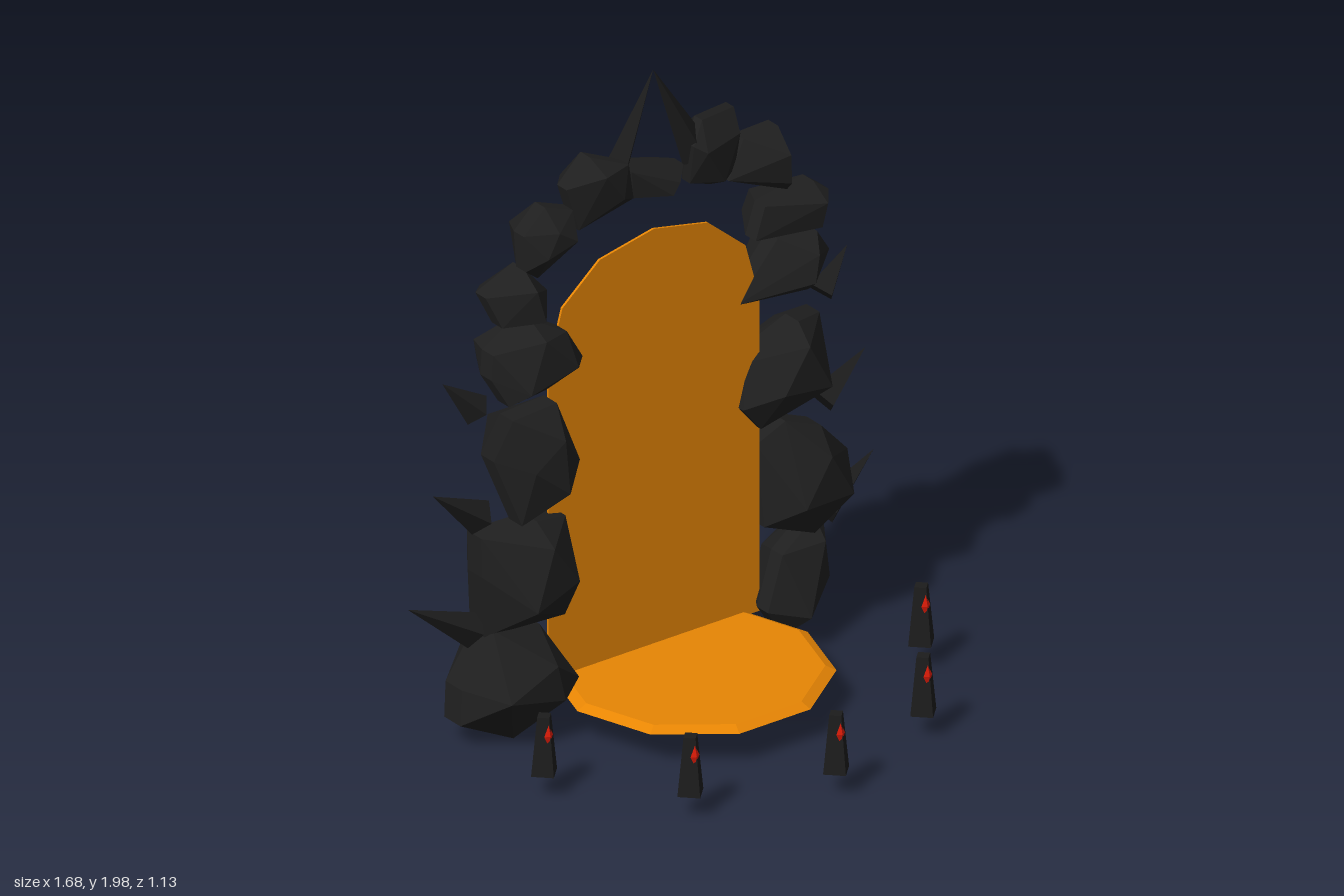
import * as THREE from 'three';
import { ConvexGeometry } from 'three/addons/geometries/ConvexGeometry.js';

const material = (name, color) => {
  const m = new THREE.MeshStandardMaterial({ color });
  m.name = name;
  m.flatShading = true;
  return m;
};

// Rock outlines in the arch plane as x, y pairs
const rightRocks = [
  [-0.54, 0.01, -0.36, 0.12, -0.33, 0.16, -0.42, 0.33, -0.6, 0.37, -0.7, 0.2, -0.71, 0.09],
  [-0.63, 0.67, -0.46, 0.69, -0.335, 0.66, -0.32, 0.49, -0.36, 0.36, -0.615, 0.345, -0.635, 0.55],
  [-0.55, 1.045, -0.38, 1.045, -0.3, 0.84, -0.37, 0.73, -0.53, 0.705, -0.58, 0.9],
  [-0.6, 1.26, -0.47, 1.34, -0.36, 1.28, -0.3, 1.18, -0.41, 1.09, -0.57, 1.1, -0.605, 1.18],
  [-0.61, 1.44, -0.49, 1.51, -0.4, 1.41, -0.43, 1.31, -0.58, 1.35],
  [-0.5, 1.62, -0.41, 1.68, -0.32, 1.65, -0.3, 1.58, -0.425, 1.45, -0.5, 1.51],
  [-0.33, 1.71, -0.245, 1.79, -0.13, 1.745, -0.1, 1.62, -0.29, 1.57],
];
const leftRocks = [
  [-0.1, 1.7, 0.07, 1.66, 0.11, 1.65, 0.02, 1.585, -0.09, 1.61],
  [0.16, 1.785, 0.325, 1.75, 0.31, 1.57, 0.22, 1.545, 0.12, 1.59, 0.115, 1.72],
  [0.33, 1.66, 0.46, 1.66, 0.5, 1.53, 0.48, 1.455, 0.265, 1.55],
  [0.38, 1.44, 0.59, 1.44, 0.63, 1.41, 0.58, 1.31, 0.345, 1.34],
  [0.44, 1.31, 0.56, 1.31, 0.615, 1.23, 0.53, 1.13, 0.3, 1.13],
  [0.34, 0.93, 0.49, 1.04, 0.61, 1.01, 0.64, 0.8, 0.37, 0.72, 0.305, 0.8],
  [0.445, 0.73, 0.57, 0.68, 0.69, 0.555, 0.68, 0.44, 0.54, 0.345, 0.38, 0.4, 0.38, 0.65],
  [0.42, 0.31, 0.58, 0.365, 0.63, 0.33, 0.66, 0.17, 0.64, 0.085, 0.42, 0.055, 0.355, 0.15],
];
// How far each left rock slants back towards its outer end
const leftSlants = [0, 0.3, 0, 0, 0, 0, 0, 0.5];
const ARCH_Z = -0.36;

// Faceted boulder: a doubled outline ring plus smaller uneven front and back caps
function rockGeometry(outline, seed, centreZ, slant = 0) {
  let s = seed * 7919 + 17;
  const rand = () => (s = (s * 16807) % 2147483647) / 2147483647;
  rand(); rand();
  const n = outline.length / 2;
  let cx = 0, cy = 0;
  for (let i = 0; i < n; i++) {
    cx += outline[2 * i] / n;
    cy += outline[2 * i + 1] / n;
  }
  const depth = (0.185 - 0.05 * cy) * (1 - 0.6 * slant);
  const points = [];
  const addPoint = (x, y, z) =>
    points.push(new THREE.Vector3(x, y, centreZ + z - slant * (x - cx)));
  for (let i = 0; i < n; i++) {
    const x = outline[2 * i], y = outline[2 * i + 1];
    const shift = (rand() - 0.5) * depth * 0.5;
    addPoint(x, y, shift + depth * 0.22);
    addPoint(x, y, shift - depth * 0.22);
    const side = i % 2 ? 1 : -1;
    const k = 0.4 + 0.3 * rand();
    addPoint(cx + (x - cx) * k, cy + (y - cy) * k, side * depth * (0.8 + 0.2 * rand()));
  }
  return new ConvexGeometry(points);
}

export function createModel() {
  const model = new THREE.Group();
  const stone = material('dark stone', 0x1f1f1f);
  const spikeStone = material('black spike', 0x1c1c1c);
  const glow = material('orange glow', 0xe88604);
  const ember = material('red ember', 0xe01c08);

  const add = (name, geometry, mat, parent = model) => {
    const mesh = new THREE.Mesh(geometry, mat);
    mesh.name = name;
    parent.add(mesh);
    return mesh;
  };

  // Stone arch, its two sides slightly offset in depth
  const arch = new THREE.Group();
  arch.name = 'stoneArch';
  model.add(arch);
  rightRocks.forEach((outline, i) =>
    add('rightArchRock', rockGeometry(outline, i + 1, ARCH_Z + 0.01), stone, arch));
  leftRocks.forEach((outline, i) =>
    add('leftArchRock', rockGeometry(outline, i + 8, ARCH_Z - 0.015, leftSlants[i]), stone, arch));

  // Four-sided spike running from a base centre to a tip
  const addSpike = (name, base, tip, radius) => {
    const a = new THREE.Vector3(...base), b = new THREE.Vector3(...tip);
    const dir = b.clone().sub(a);
    const mesh = add(name, new THREE.ConeGeometry(radius, dir.length(), 4), spikeStone);
    mesh.position.copy(a).add(b).multiplyScalar(0.5);
    mesh.quaternion.setFromUnitVectors(new THREE.Vector3(0, 1, 0), dir.normalize());
  };
  for (const s of [-1, 1]) {
    addSpike('lowerSpike', [s * 0.63, 0.36, -0.38], [s * 0.84, 0.475, -0.42], 0.055);
    addSpike('middleSpike', [s * 0.615, 0.725, -0.37], [s * 0.78, 0.84, -0.38], 0.055);
    addSpike('upperSpike', [s * 0.62, 1.07, -0.38], [s * 0.73, 1.18, -0.4], 0.05);
    addSpike('crownHorn', [s * 0.155, 1.67, ARCH_Z], [0, 1.99, ARCH_Z], 0.053);
  }

  // Glowing doorway sheet
  const door = new THREE.Shape([
    [-0.38, 0.12], [0.38, 0.12], [0.38, 1.14], [0.33, 1.32], [0.195, 1.435],
    [0, 1.475], [-0.195, 1.435], [-0.33, 1.32], [-0.38, 1.14],
  ].map(([x, y]) => new THREE.Vector2(x, y)));
  add('portalSheet', new THREE.ExtrudeGeometry(door, { depth: 0.008, bevelEnabled: false }), glow)
    .position.z = ARCH_Z - 0.004;

  // Ten-sided glowing floor plate
  const plate = add('floorPlate', new THREE.CylinderGeometry(0.383, 0.415, 0.016, 10), glow);
  plate.position.set(0, 0.125, -0.172);
  plate.rotation.y = Math.PI / 10;

  // Ring of small posts with embers
  for (const [x, z] of [[-0.68, 0.02], [-0.42, 0.375], [0, 0.515], [0.42, 0.375], [0.68, 0.02]]) {
    const post = new THREE.Group();
    post.name = 'post';
    post.position.set(x, 0, z);
    model.add(post);
    add('postBody', new THREE.CylinderGeometry(0.025, 0.047, 0.185, 4), spikeStone, post)
      .position.y = 0.1725;
    const mark = add('postEmber', new THREE.OctahedronGeometry(1), ember, post);
    mark.scale.set(0.016, 0.034, 0.009);
    mark.position.set(-0.003, 0.21, 0.026);
  }
  return model;
}
